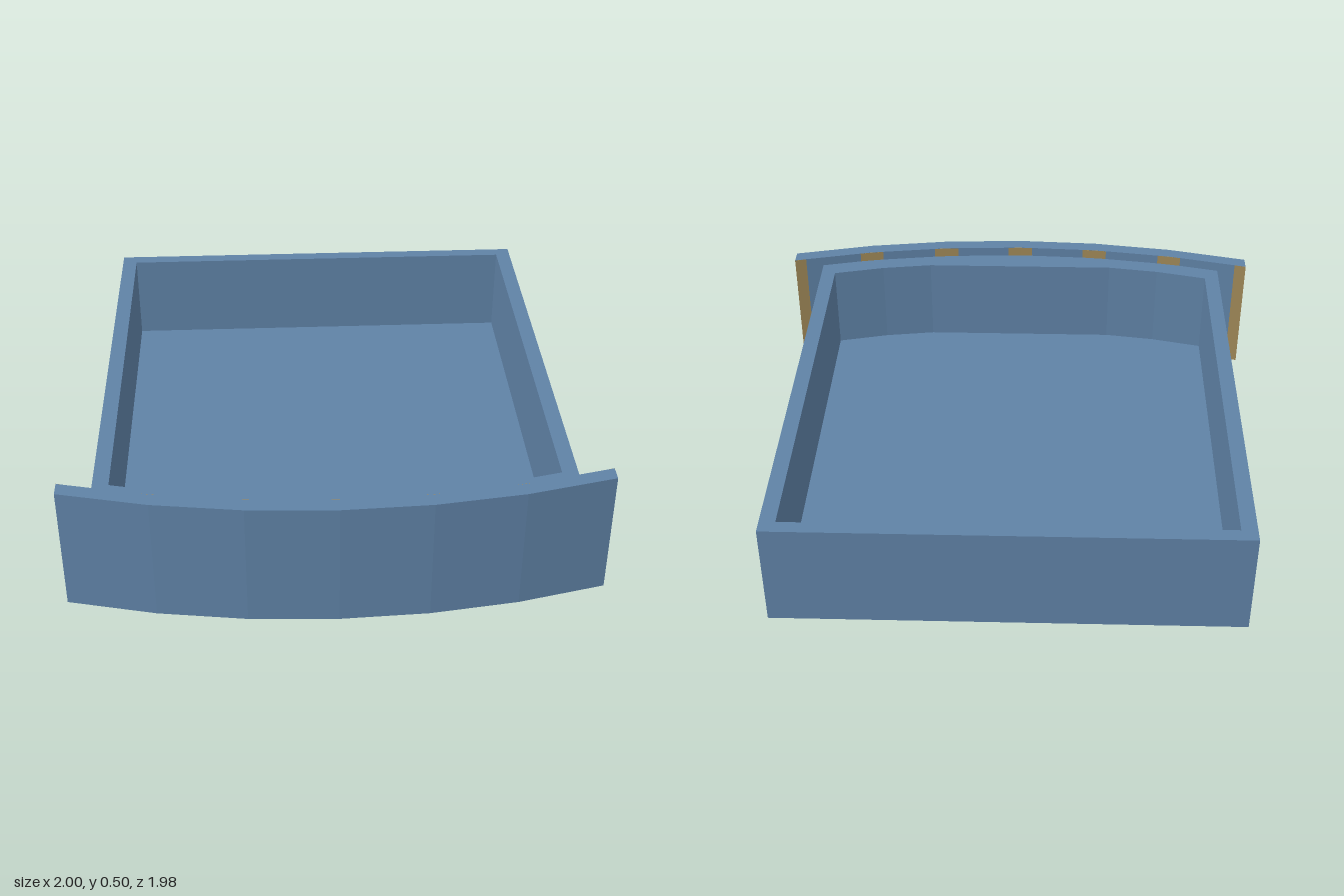
import * as THREE from 'three';

const RADIUS = 3.65;
const FRONT = 0.988;

// Depth of the bowed front at a given x
const bow = (x) => FRONT - RADIUS + Math.sqrt(RADIUS * RADIUS - x * x);

// Points along the bow from -halfWidth to +halfWidth, shifted in z
function bowPoints(halfWidth, segments, shift) {
  const points = [];
  for (let i = 0; i <= segments; i++) {
    const x = -halfWidth + (2 * halfWidth * i) / segments;
    points.push(new THREE.Vector2(x, bow(x) + shift));
  }
  return points;
}

// Extrude a plan outline (x, z) upward between two heights
function extrudePlan(points, y0, y1, hole) {
  const flip = (list) => list.map((p) => new THREE.Vector2(p.x, -p.y));
  const shape = new THREE.Shape(flip(points));
  if (hole) shape.holes.push(new THREE.Path(flip(hole)));
  const geometry = new THREE.ExtrudeGeometry(shape, { depth: y1 - y0, bevelEnabled: false });
  geometry.rotateX(-Math.PI / 2);
  geometry.translate(0, y0, 0);
  return geometry;
}

export function createModel() {
  const blue = new THREE.MeshStandardMaterial({ color: 0x5f82a6 });
  blue.name = 'blue paint';
  const tan = new THREE.MeshStandardMaterial({ color: 0x9f8857 });
  tan.name = 'bare wood';

  const group = new THREE.Group();
  group.name = 'drawer';
  const add = (name, geometry, material) => {
    const mesh = new THREE.Mesh(geometry, material);
    mesh.name = name;
    group.add(mesh);
  };

  // Bowed front panel
  const panel = [...bowPoints(1, 6, 0), ...bowPoints(1, 6, -0.06).reverse()];
  add('frontPanel', extrudePlan(panel, 0, 0.5), blue);

  // Thin wooden backing, more finely curved than the panel
  const backing = [...bowPoints(1, 48, -0.0585), ...bowPoints(1, 48, -0.062).reverse()];
  add('panelBacking', extrudePlan(backing, 0.0005, 0.4995), tan);

  // Drawer walls, with their front edge tucked into the panel
  const outer = [
    new THREE.Vector2(0.88, -FRONT),
    new THREE.Vector2(-0.88, -FRONT),
    ...bowPoints(0.88, 12, -0.045),
  ];
  const inner = [
    [-0.82, -0.935], [0.82, -0.935], [0.82, 0.75], [0.61, 0.8],
    [0.4, 0.83], [-0.4, 0.83], [-0.61, 0.8], [-0.82, 0.75],
  ].map(([x, z]) => new THREE.Vector2(x, z));
  add('drawerWalls', extrudePlan(outer, 0.04, 0.46, inner), blue);

  // Floor inside the walls
  add('drawerFloor', extrudePlan(inner, 0.04, 0.1), blue);

  return group;
}
